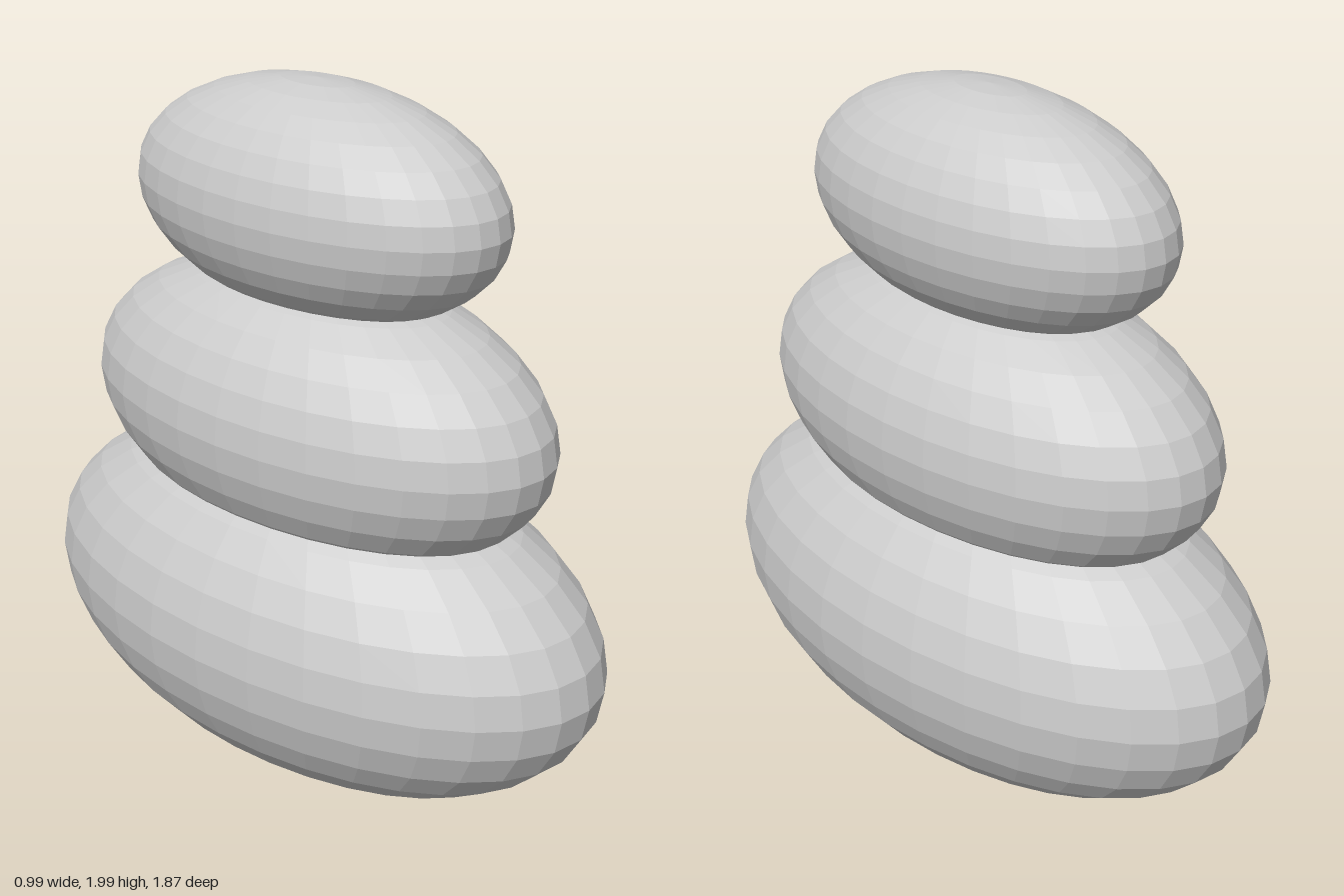
import * as THREE from 'three';

// Three stacked faceted ellipsoids, each stretched along z
export function createModel() {
  const group = new THREE.Group();
  const material = new THREE.MeshStandardMaterial({ color: 0xcccccc, flatShading: true });
  const stretch = 1.88;

  const addBall = (name, radius, y) => {
    const geometry = new THREE.SphereGeometry(radius, 32, 16);
    geometry.scale(1, 1, stretch);
    const ball = new THREE.Mesh(geometry, material);
    ball.name = name;
    ball.position.y = y;
    group.add(ball);
  };

  addBall('bottomBall', 0.497, 0.503);
  addBall('middleBall', 0.402, 1.106);
  addBall('topBall', 0.315, 1.685);

  return group;
}
